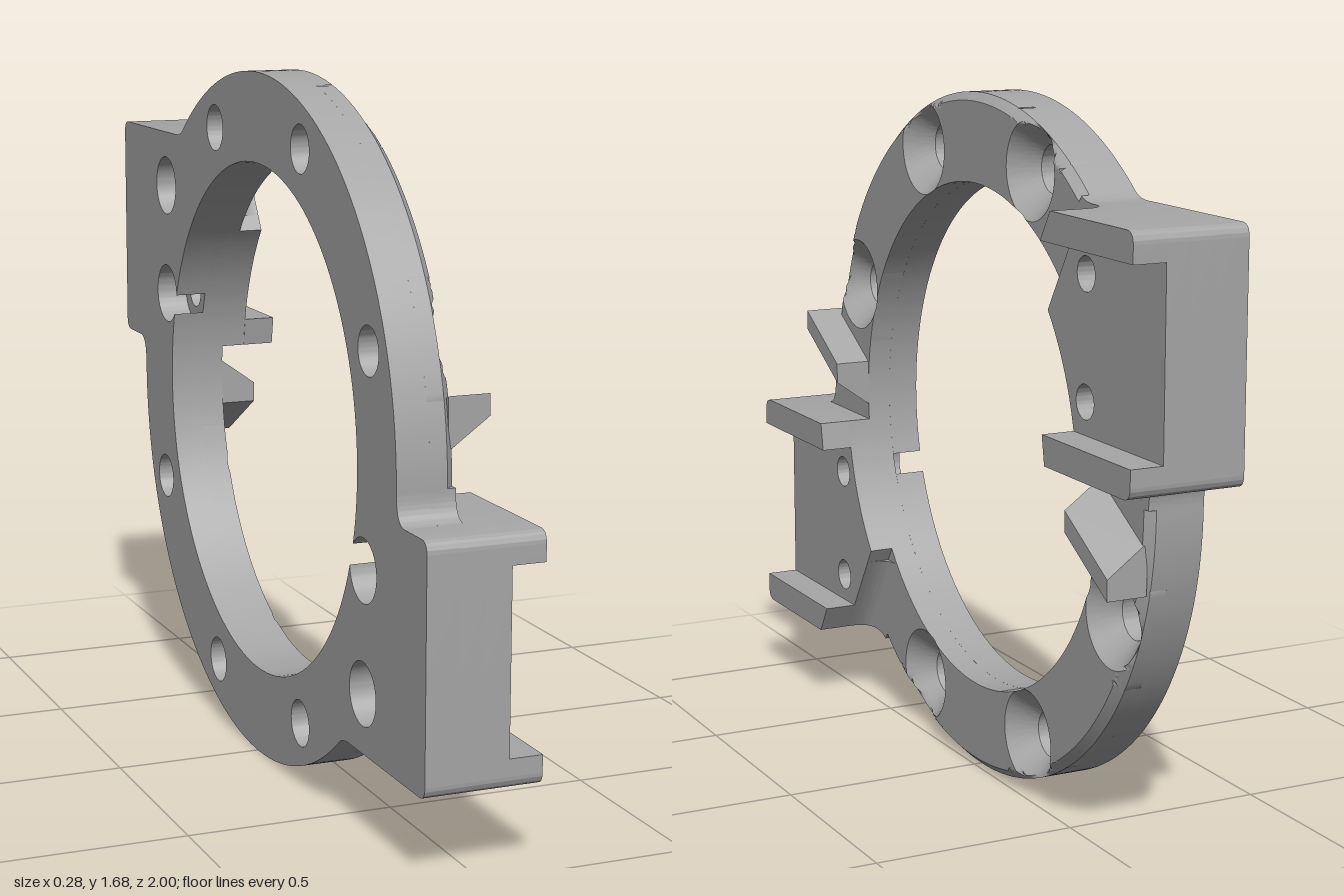
import * as THREE from 'three';
import { toCreasedNormals } from 'three/addons/utils/BufferGeometryUtils.js';

const RAD = Math.PI / 180;
const R_IN = 0.625, R_OUT = 0.84, R_BOLT = 0.74, CHAMFER = 0.02;
const HOLE = 0.057, SINK = 0.118;          // bolt hole and countersink radii
const BACK = -0.14, MID = -0.061, FLOOR = 0.06, LIP = 0.14;
const SCREWS = [[0.66, 0.215], [0.66, 0.5]]; // screw holes in each mounting block
const BORE = 0.075;

const circle = (x, y, r) => new THREE.Path().absarc(x, y, r, 0, Math.PI * 2, true);

function extrude(shape, from, to) {
  const g = new THREE.ExtrudeGeometry(shape, { depth: to - from, bevelEnabled: false, curveSegments: 32 });
  return g.translate(0, 0, from);
}

// Prism whose profile axes and sweep direction are given, allowing a slanted cut
function prism(points, xAxis, yAxis, sweep, length, origin) {
  const shape = points instanceof THREE.Shape ? points : polygon(points);
  const m = new THREE.Matrix4().makeBasis(
    new THREE.Vector3(...xAxis), new THREE.Vector3(...yAxis), new THREE.Vector3(...sweep));
  return extrude(shape, 0, length).applyMatrix4(m).translate(...origin);
}

const polygon = (pts) => new THREE.Shape(pts.map((p) => new THREE.Vector2(...p)));

// Rounded outer end of a mounting block, from its lower to its upper edge
function blockEnd(path) {
  path.lineTo(0.97, 0.07);
  path.quadraticCurveTo(1, 0.07, 1, 0.1);
  path.lineTo(1, 0.61);
  path.quadraticCurveTo(1, 0.64, 0.97, 0.64);
}

// Block outline with the blends into the ring
function blockEdge(path) {
  path.moveTo(R_OUT, 0);
  path.quadraticCurveTo(0.84, 0.07, 0.885, 0.07);
  blockEnd(path);
  path.lineTo(0.58, 0.64);
  path.quadraticCurveTo(0.55, 0.64, R_OUT * Math.cos(51 * RAD), R_OUT * Math.sin(51 * RAD));
}

// Rear plate: ring and both blocks in one outline, with bores that break the inner wall
function rearPlate() {
  const half = new THREE.Path();
  blockEdge(half);
  half.absarc(0, 0, R_OUT, 51 * RAD, Math.PI, false);
  const pts = half.getPoints(40).slice(0, -1);
  const shape = new THREE.Shape([...pts, ...pts.map((p) => p.clone().negate())]);

  const [cx, cy] = SCREWS[0];
  const d = Math.hypot(cx, cy), phi = Math.atan2(cy, cx);
  const delta = Math.acos((d * d + R_IN * R_IN - BORE * BORE) / (2 * d * R_IN));
  const eps = Math.asin(R_IN * Math.sin(delta) / BORE);
  const inner = new THREE.Path();
  for (const [s, a] of [[1, phi], [-1, phi + Math.PI]]) {
    inner.absarc(s * cx, s * cy, BORE, a + Math.PI + eps, a + 3 * Math.PI - eps, false);
    inner.absarc(0, 0, R_IN, a + delta, a + Math.PI - delta, false);
    shape.holes.push(circle(s * SCREWS[1][0], s * SCREWS[1][1], BORE));
    for (const deg of [67.5, 112.5, 157.5]) {
      shape.holes.push(circle(s * R_BOLT * Math.cos(deg * RAD), s * R_BOLT * Math.sin(deg * RAD), HOLE));
    }
  }
  shape.holes.push(inner);
  return extrude(shape, BACK, MID);
}

// Plain front sector of the ring with its chamfered rim
function ringSector(from, to) {
  const profile = [[R_OUT, MID], [R_OUT, -CHAMFER], [R_OUT - CHAMFER, 0], [R_IN, 0], [R_IN, MID]];
  const g = new THREE.LatheGeometry(profile.map((p) => new THREE.Vector2(...p)),
    Math.ceil((to - from) * 0.8), (from + 90) * RAD, (to - from) * RAD);
  return g.rotateX(Math.PI / 2);
}

// Front sector of the ring around one countersunk hole, swept outward from the hole
function sinkSector(deg) {
  const N = 96, pos = [], idx = [];
  const inside = (x, y) => {
    const r = Math.hypot(x, y);
    return r < R_OUT && r > R_IN && Math.abs(Math.atan2(y, x)) < 10 * RAD;
  };
  const rings = 12;
  for (let j = 0; j <= N; j++) {
    const a = (j / N) * Math.PI * 2, c = Math.cos(a), s = Math.sin(a);
    let lo = HOLE, hi = 0.3;
    for (let k = 0; k < 30; k++) {
      const m = (lo + hi) / 2;
      if (inside(R_BOLT + m * c, m * s)) lo = m; else hi = m;
    }
    const rim = Math.min(SINK, lo);
    for (let i = 0; i < rings; i++) {
      const rho = i <= 6 ? HOLE + (rim - HOLE) * i / 6 : rim + (lo - rim) * Math.min(1, (i - 6) / 4);
      const x = R_BOLT + rho * c, y = rho * s;
      const h = Math.min(0, R_OUT - CHAMFER - Math.hypot(x, y), rho - SINK);
      pos.push(x, y, i === rings - 1 ? MID : h);
    }
  }
  for (let j = 0; j < N; j++) {
    for (let i = 0; i < rings - 1; i++) {
      const a = j * rings + i, b = a + rings;
      idx.push(a, a + 1, b + 1, a, b + 1, b);
    }
  }
  const g = new THREE.BufferGeometry();
  g.setAttribute('position', new THREE.Float32BufferAttribute(pos, 3));
  g.setIndex(idx);
  g.computeVertexNormals();
  return g.rotateZ(deg * RAD);
}

// Lower layer of a block, merging into the ring
function blockBase() {
  const shape = new THREE.Shape();
  blockEdge(shape);
  shape.absarc(0, 0, R_IN, 50 * RAD, 0, true);
  SCREWS.forEach(([x, y]) => shape.holes.push(circle(x, y, 0.04)));
  return extrude(shape, MID, 0);
}

// Raised floor of a block with its slanted inner edge
function blockFloor() {
  const shape = new THREE.Shape();
  shape.moveTo(0.621, 0.07);
  blockEnd(shape);
  shape.lineTo(0.64, 0.64);
  shape.lineTo(0.485, 0.394);
  shape.absarc(0, 0, R_IN, 39.1 * RAD, 6.43 * RAD, true);
  SCREWS.forEach(([x, y]) => shape.holes.push(circle(x, y, 0.04)));
  return extrude(shape, 0, FLOOR);
}

function upperLip() {
  const shape = polygon([[0.596, 0.57], [1, 0.57], [1, 0.61]]);
  shape.quadraticCurveTo(1, 0.64, 0.97, 0.64);
  shape.lineTo(0.64, 0.64);
  return extrude(shape, FLOOR, LIP);
}

function lowerLip() {
  const shape = polygon([[0.609, 0.14], [0.621, 0.07], [0.97, 0.07]]);
  shape.quadraticCurveTo(1, 0.07, 1, 0.1);
  shape.lineTo(1, 0.14);
  return extrude(shape, FLOOR, LIP);
}

// Concave blend from the slanted edge down to the ring
function slantFillet() {
  const shape = polygon([[0, 0], [0.05, 0]]);
  shape.quadraticCurveTo(0, 0, 0, 0.055);
  const k = (0.64 - 0.485) / (0.64 - 0.394);
  return prism(shape, [-1, 0, 0], [0, 0, 1], [k, 1, 0], 0.21, [0.64 - 0.21 * k, 0.43, 0]);
}

// Ramped catch on the ring beside the block
function catchWedge() {
  return prism([[0.03, -0.01], [0.03, 0], [-0.035, 0.09], [-0.085, 0.09], [-0.085, -0.01]],
    [0, 1, 0], [0, 0, 1], [1, -0.58, 0], 0.195, [0.625, 0, 0]);
}

export function createModel() {
  const grey = new THREE.MeshStandardMaterial({ color: 0xa6a6a6 });
  grey.name = 'grey';
  const model = new THREE.Group();
  model.name = 'mountingRing';
  const add = (parent, name, geometry) => {
    const mesh = new THREE.Mesh(toCreasedNormals(geometry, 0.45), grey);
    mesh.name = name;
    parent.add(mesh);
  };

  // Built facing +z, then turned so the detailed face looks along +x
  const body = new THREE.Group();
  body.name = 'ringBody';
  body.rotation.y = Math.PI / 2;
  body.position.y = R_OUT;
  model.add(body);
  add(body, 'rearPlate', rearPlate());

  // Two identical halves, half a turn apart
  for (let k = 0; k < 2; k++) {
    const half = new THREE.Group();
    half.name = k ? 'lowerHalf' : 'upperHalf';
    half.rotation.z = k * Math.PI;
    body.add(half);
    for (const [a, b] of [[50, 58], [77, 103], [122, 148], [167, 180]]) add(half, 'ringSector', ringSector(a, b));
    for (const deg of [67.5, 112.5, 157.5]) add(half, 'countersunkHole', sinkSector(deg));
    add(half, 'blockBase', blockBase());
    add(half, 'blockFloor', blockFloor());
    add(half, 'upperLip', upperLip());
    add(half, 'lowerLip', lowerLip());
    add(half, 'slantFillet', slantFillet());
    add(half, 'catchWedge', catchWedge());
  }
  return model;
}
